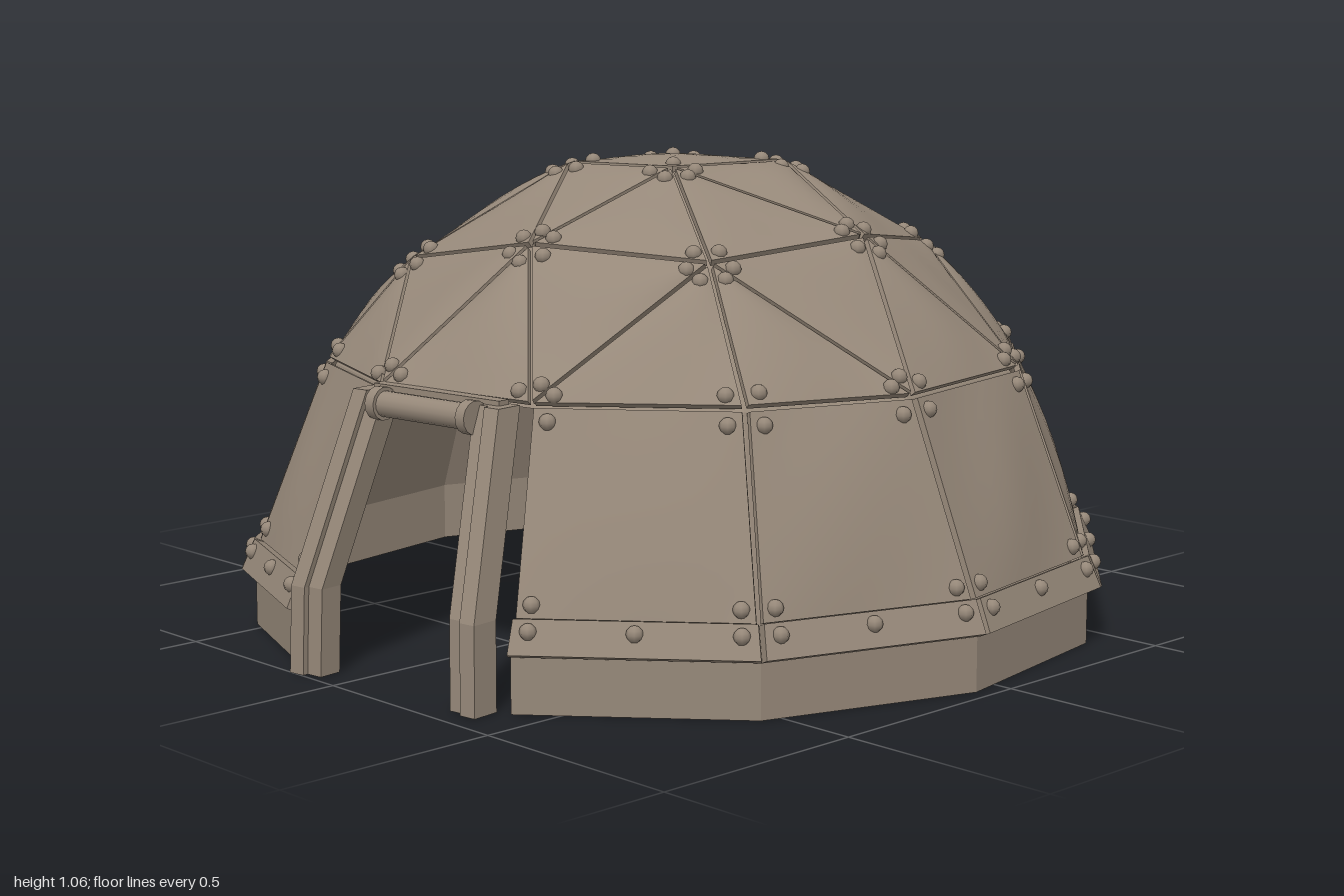
import * as THREE from 'three';
import { mergeGeometries } from 'three/addons/utils/BufferGeometryUtils.js';

const V = (x, y, z) => new THREE.Vector3(x, y, z);
const polar = (deg, r, y) => {
  const a = THREE.MathUtils.degToRad(deg);
  return V(r * Math.sin(a), y, -r * Math.cos(a));
};
const CENTRE = V(0, 0.1, 0);

// Triangles / quads from loose corner lists, flat shaded
function facets(quads) {
  const pos = [];
  for (const [a, b, c, d] of quads) for (const p of [a, b, c, a, c, d]) pos.push(p.x, p.y, p.z);
  const g = new THREE.BufferGeometry();
  g.setAttribute('position', new THREE.Float32BufferAttribute(pos, 3));
  g.computeVertexNormals();
  return g;
}

const centroid = (pts) => pts.reduce((s, p) => s.add(p), V(0, 0, 0)).divideScalar(pts.length);
const toward = (p, q, d) => p.clone().add(q.clone().sub(p).setLength(d));

// Outward normal, reversing the corners when they wind the wrong way
function orient(pts) {
  const n = pts[1].clone().sub(pts[0]).cross(pts[2].clone().sub(pts[0])).normalize();
  if (n.dot(centroid(pts).sub(CENTRE)) >= 0) return [pts, n];
  return [[...pts].reverse(), n.negate()];
}

// Thin closed plate with a hammered, slightly bulging outer face
function plate(corners, thick, bulge = 0, gap = 0) {
  const mid = centroid(corners);
  const [pts, n] = orient(corners.map((p) => toward(p, mid, gap)));
  const [a, b, c, d = c] = pts;
  const N = bulge ? 8 : 1, pos = [], idx = [];
  for (let j = 0; j <= N; j++) {
    for (let i = 0; i <= N; i++) {
      const u = i / N, v = j / N;
      const p = a.clone().lerp(b, u).lerp(d.clone().lerp(c, u), v);
      const dent = 1 + 0.6 * Math.sin(9 * p.x + 13 * p.z + 7 * p.y);
      p.addScaledVector(n, bulge * dent * 16 * u * v * (1 - u) * (1 - v));
      pos.push(p.x, p.y, p.z);
      if (i < N && j < N) {
        const k = j * (N + 1) + i;
        idx.push(k, k + 1, k + N + 2, k, k + N + 2, k + N + 1);
      }
    }
  }
  const face = new THREE.BufferGeometry();
  face.setAttribute('position', new THREE.Float32BufferAttribute(pos, 3));
  face.setIndex(idx);
  face.computeVertexNormals();
  const low = pts.map((p) => p.clone().addScaledVector(n, -thick));
  const sides = pts.map((p, i) => {
    const k = (i + 1) % pts.length;
    return [p, low[i], low[k], pts[k]];
  });
  sides.push([low[0], low[3] ?? low[2], low[2], low[1]]);
  return mergeGeometries([face.toNonIndexed(), facets(sides)]);
}

// Rectangular bar swept along a few points
function beam(path, side, out, w, d) {
  const rings = path.map((p) => [[-1, -1], [1, -1], [1, 1], [-1, 1]].map(([s, t]) =>
    p.clone().addScaledVector(side, s * w / 2).addScaledVector(out, t * d / 2)));
  const quads = [[...rings[0]], [...rings[rings.length - 1]].reverse()];
  for (let i = 0; i + 1 < rings.length; i++)
    for (let k = 0; k < 4; k++) {
      const m = (k + 1) % 4;
      quads.push([rings[i][k], rings[i + 1][k], rings[i + 1][m], rings[i][m]]);
    }
  // rings run anticlockwise seen from the front-down axis, so flip all faces
  return facets(quads.map((q) => [...q].reverse()));
}

export function createModel() {
  const model = new THREE.Group();
  const metal = new THREE.MeshStandardMaterial({ color: 0x968879 });
  metal.name = 'taupe metal';
  metal.side = THREE.DoubleSide;
  const add = (name, geometry) => {
    const mesh = new THREE.Mesh(geometry, metal);
    mesh.name = name;
    model.add(mesh);
    return mesh;
  };

  // Frame nodes: crown, shoulder ring, waist ring, rim
  const crown = [[0.155, -0.19], [0.12, 0.13], [-0.14, 0.2], [-0.14, -0.12]].map(([x, z]) => V(x, 1.04, z));
  const shoulder = [[0.31, -0.5], [0.5, -0.085], [0.44, 0.33], [0.075, 0.51],
    [-0.33, 0.51], [-0.52, 0.11], [-0.45, -0.33], [-0.085, -0.51]]
    .map(([x, z]) => V(x, 0.9 - 0.7 * (Math.hypot(x, z) - 0.51), z));
  const waist = [4.3, 33.5, 63, 96, 124, 156, 186, 214, 243, 275, 306, 335].map((a) => polar(a, 0.8, 0.605));
  const rimAngles = [0.3, 33.8, 65.1, 94.3, 124.1, 154.2, 189.8, 213.5, 244.5, 274.3, 303, 331];
  const ring = (r, y) => rimAngles.map((a) => polar(a, r, y));
  const hem = ring(0.962, 0.19), DOOR = 5;

  // Panel layout, stitched from ring to ring
  const C = (i) => crown[i % 4], S = (i) => shoulder[(i + 8) % 8], W = (i) => waist[i % 12];
  const panels = [[...crown]];
  for (let k = 0; k < 4; k++) {
    const s = 2 * k, w = 3 * k;
    panels.push(
      [C(k), S(s - 1), S(s)], [C(k), S(s), S(s + 1)], [C(k), S(s + 1), C(k + 1)],
      [S(s), W(w), W(w + 1)], [S(s), W(w + 1), W(w + 2)], [S(s), W(w + 2), S(s + 1)],
      [S(s + 1), W(w + 2), W(w + 3)], [S(s + 1), W(w + 3), S(s + 2)]);
  }
  const upperCount = panels.length;
  const bays = [...Array(12).keys()].filter((i) => i !== DOOR);
  for (const i of bays) panels.push([W(i), W(i + 1), hem[(i + 1) % 12], hem[i]]);
  add('domePanels', mergeGeometries(panels.map((p) => plate(p, 0.014, 0.01, 0.011))));

  // Inner lining behind the panels
  const shrink = (p) => p.clone().sub(CENTRE).multiplyScalar(0.975).add(CENTRE);
  const foot = ring(0.945, 0.12);
  const lining = panels.slice(0, upperCount).map((p) => orient(p)[0].map(shrink));
  for (const i of bays) lining.push(orient([shrink(W(i)), shrink(W(i + 1)), foot[(i + 1) % 12], foot[i]])[0]);
  add('innerLining', facets(lining.map(([a, b, c, d = c]) => [a, b, c, d])));

  // Base wall and the flared flange above it
  const band = (top, bottom, thick, gap) => mergeGeometries(bays.map((i) => {
    const k = (i + 1) % 12;
    return plate([top[i], top[k], bottom[k], bottom[i]], thick, 0, gap);
  }));
  add('baseWall', band(ring(0.97, 0.145), ring(0.97, 0), 0.03, 0));
  const flangeTop = ring(0.972, 0.2), flangeBottom = ring(1.003, 0.13);
  add('rimFlange', band(flangeTop, flangeBottom, 0.025, 0.006));

  // Rivets in every panel corner and along the flange
  const rivets = [];
  const rivet = (p) => rivets.push(new THREE.SphereGeometry(0.018, 8, 6).translate(p.x, p.y, p.z));
  for (const p of panels) {
    const mid = centroid(p);
    for (const q of p) rivet(toward(q, mid, 0.052));
  }
  for (const i of bays) {
    const k = (i + 1) % 12;
    const a = flangeTop[i].clone().lerp(flangeBottom[i], 0.35);
    const b = flangeTop[k].clone().lerp(flangeBottom[k], 0.35);
    for (const t of [0.08, 0.5, 0.92]) rivet(a.clone().lerp(b, t));
  }
  add('rivets', mergeGeometries(rivets));

  // Door posts: an outer strip and a set-back jamb on each side
  const side = V(0.99, 0, -0.12).normalize(), out = V(0.12, 0, 0.99).normalize();
  const posts = [
    ['rightDoorPost', -1, [V(-0.112, 0, 0.965), V(-0.108, 0.19, 0.96), V(-0.07, 0.6, 0.815)]],
    ['leftDoorPost', 1, [V(0.355, 0, 0.92), V(0.35, 0.19, 0.915), V(0.262, 0.6, 0.77)]],
  ];
  for (const [name, s, path] of posts) {
    const shift = (d, o) => path.map((p) => p.clone().addScaledVector(side, s * d).addScaledVector(out, o));
    add(name, mergeGeometries([
      beam(shift(0.019, 0), side, out, 0.04, 0.065),
      beam(shift(-0.02, -0.008), side, out, 0.042, 0.055),
    ]));
  }

  // Rolled door cover with end collars, and the lintel behind it
  const from = V(-0.045, 0.575, 0.835), to = V(0.24, 0.575, 0.805);
  const axis = to.clone().sub(from);
  const turn = new THREE.Quaternion().setFromUnitVectors(V(0, 1, 0), axis.clone().normalize());
  const tube = (name, r, len, t) => {
    const m = add(name, new THREE.CylinderGeometry(r, r, len, 14));
    m.quaternion.copy(turn);
    m.position.copy(from).addScaledVector(axis, t);
  };
  tube('doorRoll', 0.028, axis.length(), 0.5);
  tube('rollCollar', 0.036, 0.025, 0.04);
  tube('rollCollar', 0.036, 0.025, 0.96);
  const lintel = add('doorLintel', new THREE.BoxGeometry(0.36, 0.065, 0.03));
  lintel.position.set(0.097, 0.578, 0.78);
  lintel.rotation.y = 0.12;

  return model;
}
